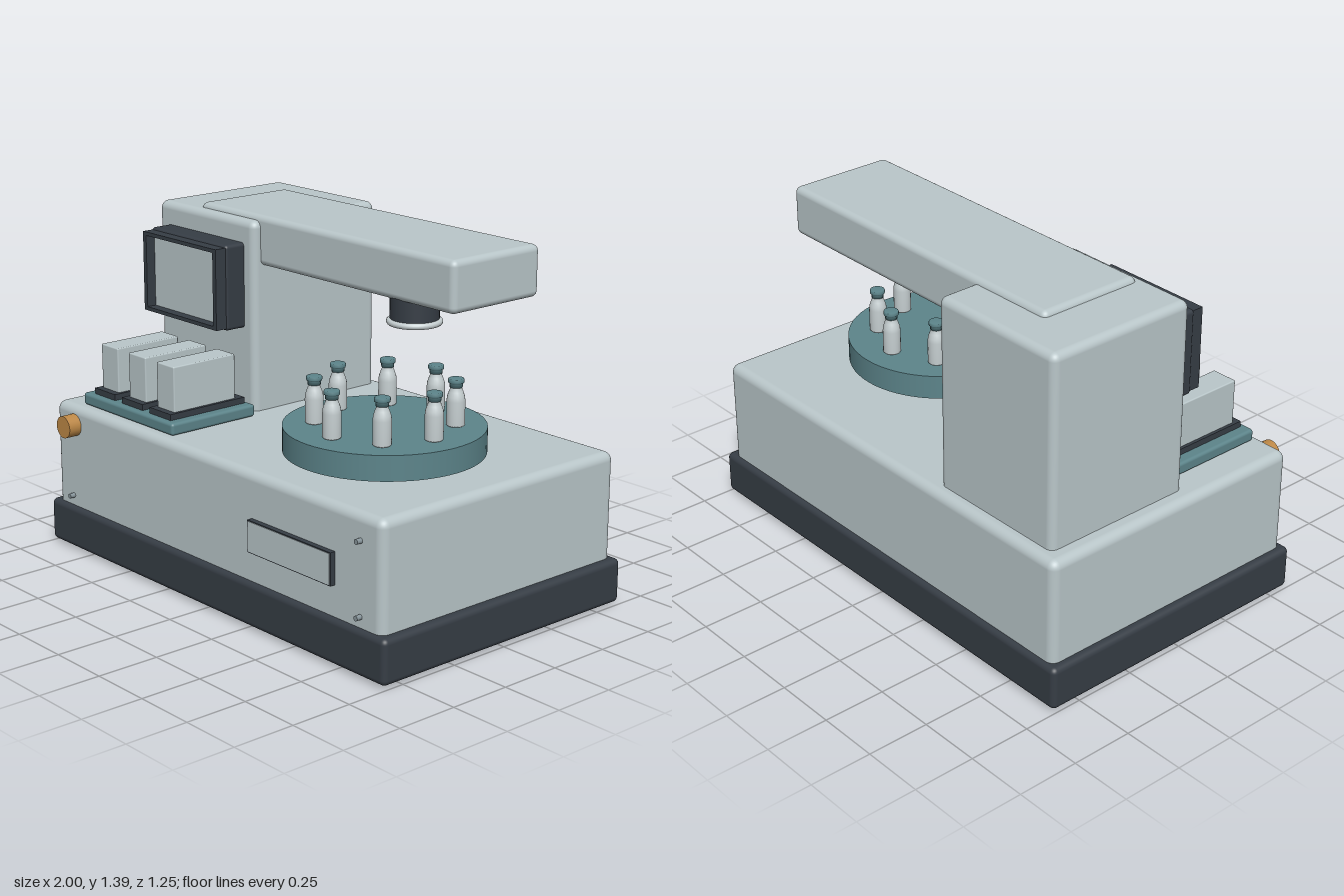
import * as THREE from 'three';
import { RoundedBoxGeometry } from 'three/addons/geometries/RoundedBoxGeometry.js';

const mat = (name, color) => {
  const m = new THREE.MeshStandardMaterial({ color });
  m.name = name;
  return m;
};

export function createModel() {
  const shell = mat('paleGreyShell', 0xb9c6c9);
  const dark = mat('charcoal', 0x363d45);
  const teal = mat('teal', 0x5c848a);
  const amber = mat('amber', 0xbd8846);
  const glass = mat('glassWhite', 0xc6cfd1);
  const steel = mat('steel', 0x87949a);

  const model = new THREE.Group();
  model.name = 'benchAnalyser';

  const add = (name, geo, material, x = 0, y = 0, z = 0, parent = model) => {
    const mesh = new THREE.Mesh(geo, material);
    mesh.name = name;
    mesh.position.set(x, y, z);
    parent.add(mesh);
    return mesh;
  };
  // Box given by its extents; r > 0 rounds the edges
  const box = (name, material, [x0, x1], [y0, y1], [z0, z1], r = 0, parent = model) => {
    const s = [x1 - x0, y1 - y0, z1 - z0];
    const geo = r ? new RoundedBoxGeometry(...s, 4, r) : new THREE.BoxGeometry(...s);
    return add(name, geo, material, (x0 + x1) / 2, (y0 + y1) / 2, (z0 + z1) / 2, parent);
  };
  const cyl = (r, h, seg = 32) => new THREE.CylinderGeometry(r, r, h, seg);

  // Housing
  box('basePlinth', dark, [-1, 1], [0.01, 0.185], [-0.626, 0.59], 0.022);
  box('body', shell, [-0.97, 0.967], [0.15, 0.605], [-0.606, 0.571], 0.035);
  box('column', shell, [-0.905, -0.305], [0.56, 1.367], [-0.557, 0.081], 0.03);
  box('arm', shell, [-0.68, 0.755], [1.19, 1.387], [-0.397, 0.044], 0.025);
  for (const x of [-0.8, 0.8])
    for (const z of [-0.475, 0.44]) add('foot', cyl(0.07, 0.02), dark, x, 0.01, z);

  // Optical head below the arm
  add('headBarrel', cyl(0.092, 0.1), dark, 0.455, 1.15, -0.056);
  const ring = add('headRing', new THREE.TorusGeometry(0.093, 0.012, 12, 40), glass, 0.455, 1.1, -0.056);
  ring.rotation.x = Math.PI / 2;

  // Display on the column: housing, open frame and recessed screen
  box('displayHousing', dark, [-0.84, -0.363], [0.937, 1.277], [0.06, 0.172], 0.014);
  const frameShape = new THREE.Shape();
  const rect = (p, x, y) => p.moveTo(-x, -y).lineTo(x, -y).lineTo(x, y).lineTo(-x, y).closePath();
  rect(frameShape, 0.232, 0.161);
  const opening = new THREE.Path();
  rect(opening, 0.212, 0.146);
  frameShape.holes.push(opening);
  add('displayFrame', new THREE.ExtrudeGeometry(frameShape, { depth: 0.053, bevelEnabled: false }),
    dark, -0.6, 1.107, 0.165);
  box('screen', shell, [-0.815, -0.385], [0.958, 1.256], [0.168, 0.177]);

  // Cartridge tray
  box('cartridgeTray', teal, [-0.836, -0.255], [0.607, 0.656], [0.12, 0.528], 0.012);
  for (let i = 0; i < 3; i++) {
    const x = -0.723 + i * 0.18;
    box('cartridgeSocket', dark, [x - 0.067, x + 0.067], [0.645, 0.68], [0.14, 0.503]);
    box('cartridge', shell, [x - 0.054, x + 0.054], [0.675, 0.859], [0.176, 0.475], 0.005);
  }

  // Carousel with a ring of eight stoppered vials
  const carousel = new THREE.Group();
  carousel.name = 'carousel';
  carousel.position.set(0.437, 0, 0.072);
  model.add(carousel);
  add('turntable', cyl(0.379, 0.097, 64), teal, 0, 0.6775, 0, carousel);
  const lathe = (pts) => new THREE.LatheGeometry(pts.map(([x, y]) => new THREE.Vector2(x, y)), 20);
  const vialGeo = lathe([[0, 0], [0.031, 0], [0.035, 0.005], [0.035, 0.095], [0.033, 0.112],
    [0.027, 0.13], [0.022, 0.142], [0.021, 0.155], [0, 0.155]]);
  const capGeo = lathe([[0, 0.147], [0.024, 0.147], [0.025, 0.162], [0.029, 0.164], [0.03, 0.168],
    [0.03, 0.176], [0.028, 0.18], [0, 0.18]]);
  for (let i = 0; i < 8; i++) {
    const a = (i * Math.PI) / 4;
    const vial = new THREE.Group();
    vial.name = 'vial';
    vial.position.set(Math.cos(a) * 0.26, 0.726, Math.sin(a) * 0.26);
    add('vialGlass', vialGeo, glass, 0, 0, 0, vial);
    add('vialCap', capGeo, teal, 0, 0, 0, vial);
    carousel.add(vial);
  }

  // Front details: knob, label panel, screws
  const frontDisc = (name, r, z0, z1, x, y, material) => {
    add(name, cyl(r, z1 - z0, 28), material, x, y, (z0 + z1) / 2).rotation.x = Math.PI / 2;
  };
  frontDisc('knob', 0.045, 0.568, 0.626, -0.842, 0.528, amber);
  box('panelFrame', dark, [0.27, 0.725], [0.305, 0.43], [0.568, 0.593]);
  box('panelFace', shell, [0.274, 0.721], [0.309, 0.426], [0.592, 0.595]);
  for (const x of [-0.862, 0.857])
    for (const y of [0.226, 0.507]) frontDisc('screw', 0.01, 0.568, 0.594, x, y, steel);

  return model;
}
